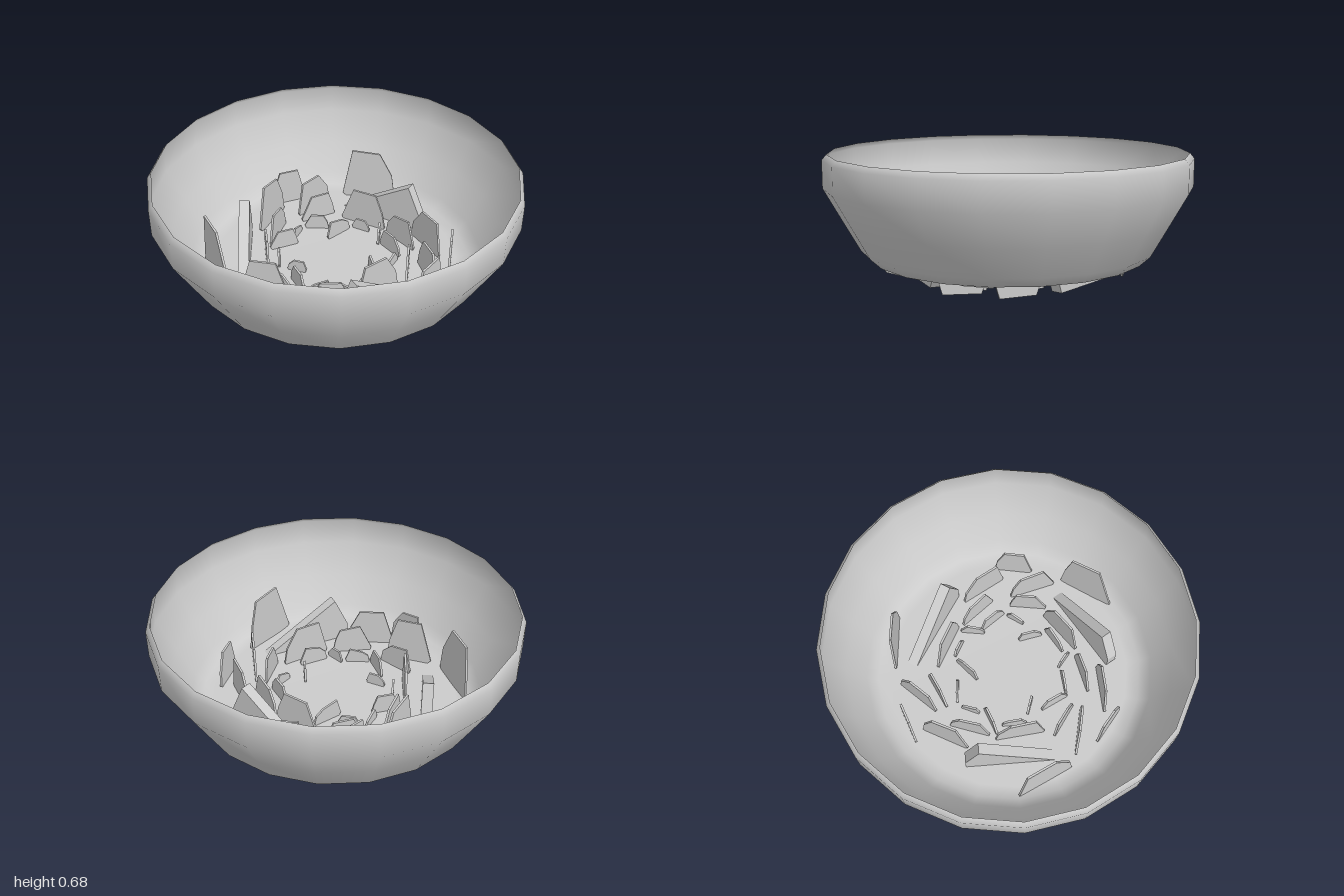
import * as THREE from 'three';

const material = new THREE.MeshStandardMaterial({ color: 0xcccccc, side: THREE.DoubleSide });

// Upright plate between two floor points; outline holds [fraction along, height] pairs
function plate(name, [x1, z1, x2, z2], thickness, outline) {
  const length = Math.hypot(x2 - x1, z2 - z1);
  const shape = new THREE.Shape(outline.map(([t, y]) => new THREE.Vector2((t - 0.5) * length, y)));
  const geometry = new THREE.ExtrudeGeometry(shape, { depth: thickness, bevelEnabled: false });
  geometry.translate(0, 0, -thickness / 2);
  const mesh = new THREE.Mesh(geometry, material);
  mesh.name = name;
  mesh.position.set((x1 + x2) / 2, 0, (z1 + z2) / 2);
  mesh.rotation.y = -Math.atan2(z2 - z1, x2 - x1);
  return mesh;
}

// Ring of thin shards with tapering sides and slanted tops; longer shards stand taller
function shardRing(name, bottom, rise, base, segments) {
  const ring = new THREE.Group();
  ring.name = name + 'Ring';
  segments.forEach((segment, i) => {
    const [x1, z1, x2, z2] = segment;
    const top = base + rise * Math.hypot(x2 - x1, z2 - z1);
    const lean = ((i * 2) % 5) * 0.04;
    ring.add(plate(name, segment, 0.012, [
      [0.12, bottom], [0.86, bottom], [1, 0.1], [0.94, 0.1 + (top - 0.1) * 0.45],
      [0.66 + lean, top - 0.02 * (i % 2)], [0.14 + lean, top], [0, 0.11],
    ]));
  });
  return ring;
}

// Small inner shards are evenly spread and swung to either side of the tangent
function innerSegment(i) {
  const angle = THREE.MathUtils.degToRad(i * 24 - 169);
  const radius = i % 5 === 0 ? 0.24 : 0.32;
  const heading = angle + Math.PI / 2 + (((i * 7) % 5) - 2) * 0.4;
  const half = 0.055 + (i % 3) * 0.015;
  const x = radius * Math.cos(angle), z = radius * Math.sin(angle);
  const dx = half * Math.cos(heading), dz = half * Math.sin(heading);
  return [x - dx, z - dz, x + dx, z + dz];
}

export function createModel() {
  const group = new THREE.Group();

  // Twenty-sided bowl with a rounded foot and a small chamfered lip
  const profile = [
    [0, 0.09], [0.68, 0.09], [0.75, 0.105], [0.81, 0.16],
    [0.9, 0.32], [1, 0.5], [1, 0.65], [0.975, 0.68],
  ].map(([r, y]) => new THREE.Vector2(r, y));
  const bowl = new THREE.Mesh(new THREE.LatheGeometry(profile, 20), material);
  bowl.name = 'bowl';
  group.add(bowl);

  // Three thick wedges, each rising to a peak near its far end
  const wedge = [[0.06, 0.02], [0.94, 0.02], [1, 0.1], [1, 0.18], [0.85, 0.36], [0, 0.07]];
  for (const segment of [
    [-0.56, -0.1, -0.25, -0.53], [0.21, 0.53, -0.34, 0.48], [0.38, -0.43, 0.58, 0.07],
  ]) group.add(plate('thickWedge', segment, 0.06, wedge));

  // Tall outer shards, resting just below the bowl floor
  group.add(shardRing('outerShard', 0.075, 1.1, 0.06, [
    [-0.59, -0.43, -0.65, -0.1], [-0.2, -0.47, 0.05, -0.59], [0.01, -0.67, 0.22, -0.61],
    [0.43, -0.49, 0.67, -0.28], [-0.62, -0.04, -0.44, 0.16], [-0.64, 0.1, -0.58, 0.32],
    [0.39, 0.51, 0.55, 0.36], [-0.07, 0.72, 0.24, 0.61],
  ]));

  // Middle shards, piercing down to the ground
  group.add(shardRing('middleShard', 0, 1, 0.03, [
    [0.08, -0.47, 0.34, -0.52], [-0.22, -0.33, -0.03, -0.46], [0.06, -0.41, 0.27, -0.37],
    [-0.4, -0.08, -0.26, -0.32], [0.28, -0.3, 0.4, -0.05], [-0.46, -0.06, -0.39, 0.14],
    [-0.54, 0.25, -0.31, 0.4], [-0.39, 0.26, -0.18, 0.35], [-0.15, 0.38, 0.13, 0.38],
    [0.25, 0.56, 0.35, 0.31], [0.47, 0.35, 0.5, 0.08], [0.4, 0.21, 0.39, -0.02],
    [0.16, 0.42, 0.31, 0.27],
  ]));

  // Low inner shards
  const inner = Array.from({ length: 15 }, (_, i) => innerSegment(i));
  group.add(shardRing('innerShard', 0.06, 0.7, 0.08, inner));
  return group;
}
